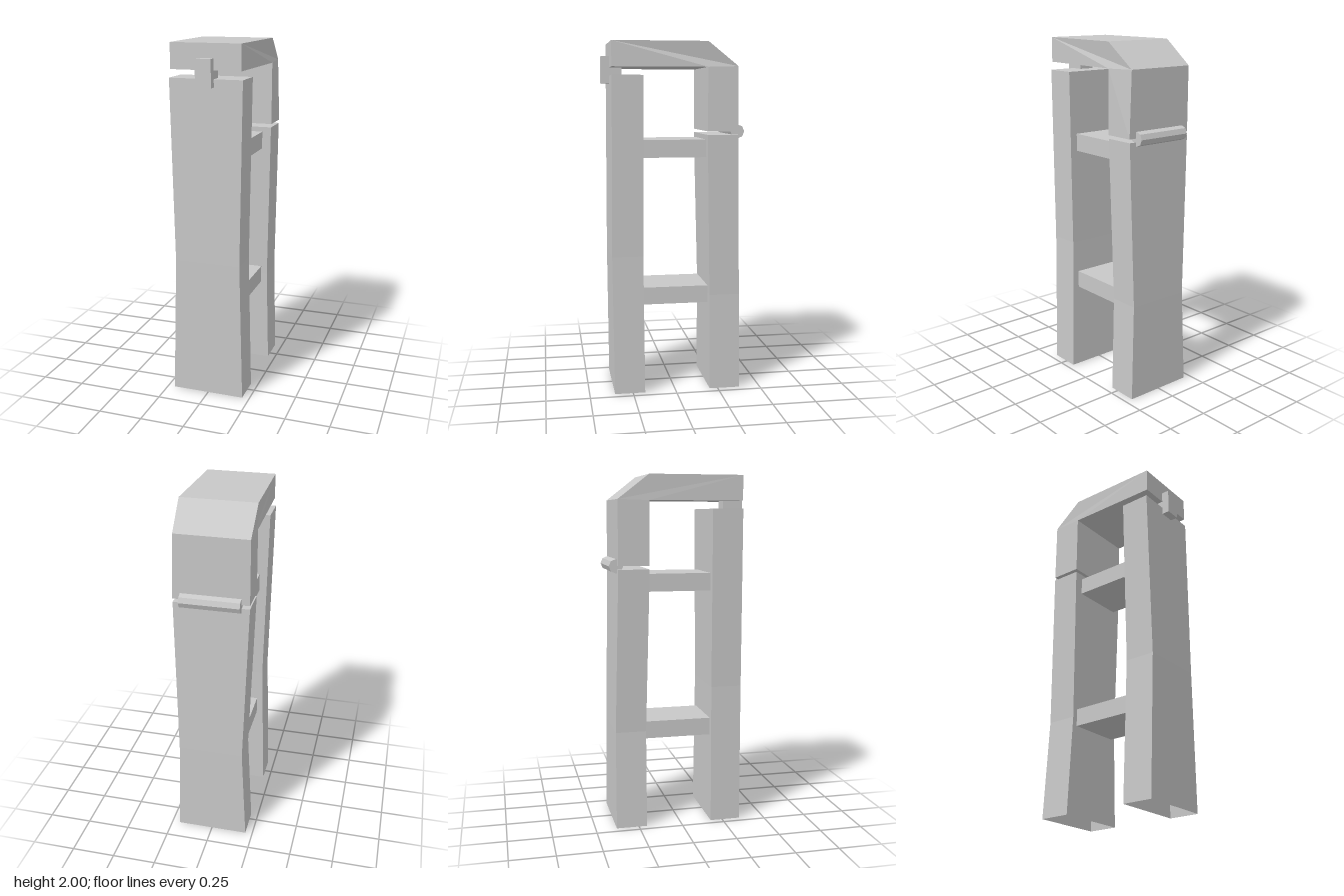
import * as THREE from 'three';

const grey = new THREE.MeshStandardMaterial({ color: 0xc8c8c8, flatShading: true, side: THREE.DoubleSide });
grey.name = 'plain grey';

function addPart(group, name, geometry, x = 0, y = 0, z = 0) {
  const mesh = new THREE.Mesh(geometry, grey);
  mesh.name = name;
  mesh.position.set(x, y, z);
  group.add(mesh);
  return mesh;
}

// Hollow waisted post, open underneath; rows run top to bottom: [y, xMin, xMax, zMin, zMax]
function waistedPost(rows) {
  const geo = new THREE.BoxGeometry(2, 2, 2, 1, rows.length - 1, 1);
  const pos = geo.attributes.position;
  for (let i = 0; i < pos.count; i++) {
    const row = rows[Math.round((1 - pos.getY(i)) / 2 * (rows.length - 1))];
    pos.setXYZ(i, pos.getX(i) < 0 ? row[1] : row[2], row[0], pos.getZ(i) < 0 ? row[3] : row[4]);
  }
  // drop the bottom face
  const bottom = geo.groups[3];
  const index = Array.from(geo.index.array);
  index.splice(bottom.start, bottom.count);
  geo.setIndex(index);
  geo.clearGroups();
  geo.computeVertexNormals();
  return geo;
}

// Hooked lid: side outline extruded across x, narrowing towards the front
function lidGeometry() {
  const outline = [[0.355, 2], [0.355, 1.86], [-0.18, 1.86], [-0.18, 1.505],
    [-0.355, 1.505], [-0.355, 1.865], [-0.18, 2]];
  const shape = new THREE.Shape(outline.map(([z, y]) => new THREE.Vector2(-z, y)));
  const geo = new THREE.ExtrudeGeometry(shape, { depth: 1, bevelEnabled: false });
  geo.rotateY(Math.PI / 2);
  const pos = geo.attributes.position;
  for (let i = 0; i < pos.count; i++) {
    const right = pos.getX(i) > 0.5;
    const z = pos.getZ(i);
    let x = right ? 0.21 : -0.21;
    if (z > 0) x = right ? 0.195 : -0.2;
    else if (right && z < -0.3 && pos.getY(i) > 1.8) x = 0.197;
    pos.setX(i, x);
  }
  geo.computeVertexNormals();
  return geo;
}

export function createModel() {
  const model = new THREE.Group();
  model.name = 'hingedFrame';

  addPart(model, 'frontPost', waistedPost([
    [1.815, -0.208, 0.203, 0.18, 0.355],
    [0.8, -0.184, 0.19, 0.185, 0.362],
    [0, -0.21, 0.208, 0.18, 0.355],
  ]));
  addPart(model, 'backPost', waistedPost([
    [1.485, -0.21, 0.208, -0.355, -0.18],
    [0.56, -0.18, 0.19, -0.375, -0.2],
    [0, -0.208, 0.205, -0.38, -0.203],
  ]));
  addPart(model, 'lid', lidGeometry());

  // Rungs between the posts
  for (const [name, y] of [['lowerRung', 0.56], ['upperRung', 1.407]]) {
    addPart(model, name, new THREE.BoxGeometry(0.31, 0.1, 0.38), 0, y, -0.005);
  }

  // Latch at the front, hinge barrel at the back
  addPart(model, 'latch', new THREE.BoxGeometry(0.088, 0.15, 0.115), 0, 1.847, 0.3425);
  const barrel = new THREE.CylinderGeometry(0.04, 0.04, 0.33, 8);
  barrel.rotateZ(Math.PI / 2);
  addPart(model, 'hingeBarrel', barrel, 0, 1.502, -0.36);

  return model;
}
